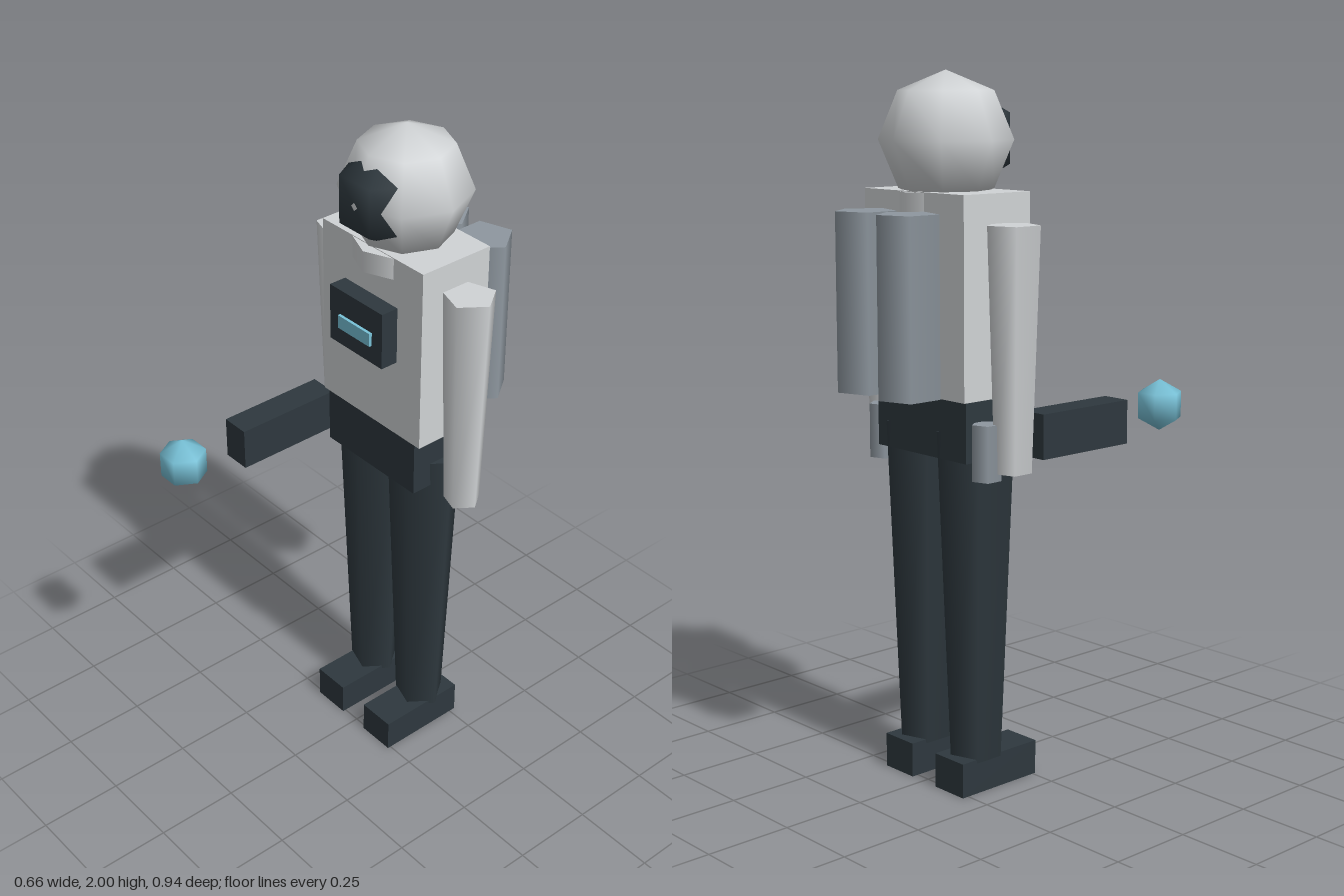
import * as THREE from 'three';

export function createModel() {
  const model = new THREE.Group();
  model.name = 'astronaut';

  const mat = (name, color) => {
    const m = new THREE.MeshStandardMaterial({ color });
    m.name = name;
    return m;
  };
  const suit = mat('suit grey', 0xd0d3d5);
  const dark = mat('dark slate', 0x2e383e);
  const steel = mat('steel grey', 0x8e979f);
  const glow = mat('light blue', 0x78c2d8);

  const add = (name, geometry, material, x, y, z) => {
    const mesh = new THREE.Mesh(geometry, material);
    mesh.name = name;
    mesh.position.set(x, y, z);
    model.add(mesh);
    return mesh;
  };
  const box = (name, material, w, h, d, x, y, z) =>
    add(name, new THREE.BoxGeometry(w, h, d), material, x, y, z);
  // Five-sided tapered column from y0 to y1 with one corner towards +x
  const column = (name, material, rTop, rBottom, y0, y1, x, z) => {
    const g = new THREE.CylinderGeometry(rTop, rBottom, y1 - y0, 5).rotateY(Math.PI / 2);
    return add(name, g, material, x, (y0 + y1) / 2, z);
  };

  const cx = -0.005, cz = -0.173;

  // Helmet, with a coarser ball pushing through its front as the visor
  add('helmet', new THREE.SphereGeometry(0.185, 8, 4), suit, cx, 1.815, -0.175);
  add('visor', new THREE.SphereGeometry(0.14, 6, 3), dark, cx, 1.815, -0.1);
  add('collar', new THREE.CylinderGeometry(0.147, 0.147, 0.063, 8), suit, cx + 0.005, 1.6465, -0.168);

  // Torso and hips
  box('torso', suit, 0.41, 0.55, 0.238, cx, 1.405, -0.175);
  box('hips', dark, 0.37, 0.17, 0.214, -0.01, 1.045, -0.168);

  // Chest panel with its display
  box('chestPanel', dark, 0.217, 0.17, 0.07, -0.007, 1.45, -0.037);
  box('chestDisplay', glow, 0.132, 0.04, 0.009, -0.006, 1.44, 0.0025);

  // Paired parts on both sides
  for (const [side, s] of [['left', 1], ['right', -1]]) {
    column(side + 'Arm', suit, 0.0745, 0.053, 0.935, 1.6, cx + s * 0.263, cz);
    column(side + 'Leg', dark, 0.112, 0.0745, 0.09, 1.035, -0.0075 + s * 0.1075, cz);
    box(side + 'Foot', dark, 0.117, 0.1, 0.28, cx + s * 0.109, 0.05, -0.13);
    column(side + 'Tank', steel, 0.0865, 0.0865, 1.14, 1.63, -0.0065 + s * 0.087, -0.388);
    column(side + 'Canister', steel, 0.042, 0.042, 0.915, 1.07, -0.01 + s * 0.217, -0.231);
  }

  // Held device and the floating orb ahead of it
  box('device', dark, 0.086, 0.125, 0.328, -0.268, 1.0275, 0.065);
  add('orb', new THREE.SphereGeometry(0.075, 6, 3), glow, -0.266, 1.048, 0.413);

  return model;
}
